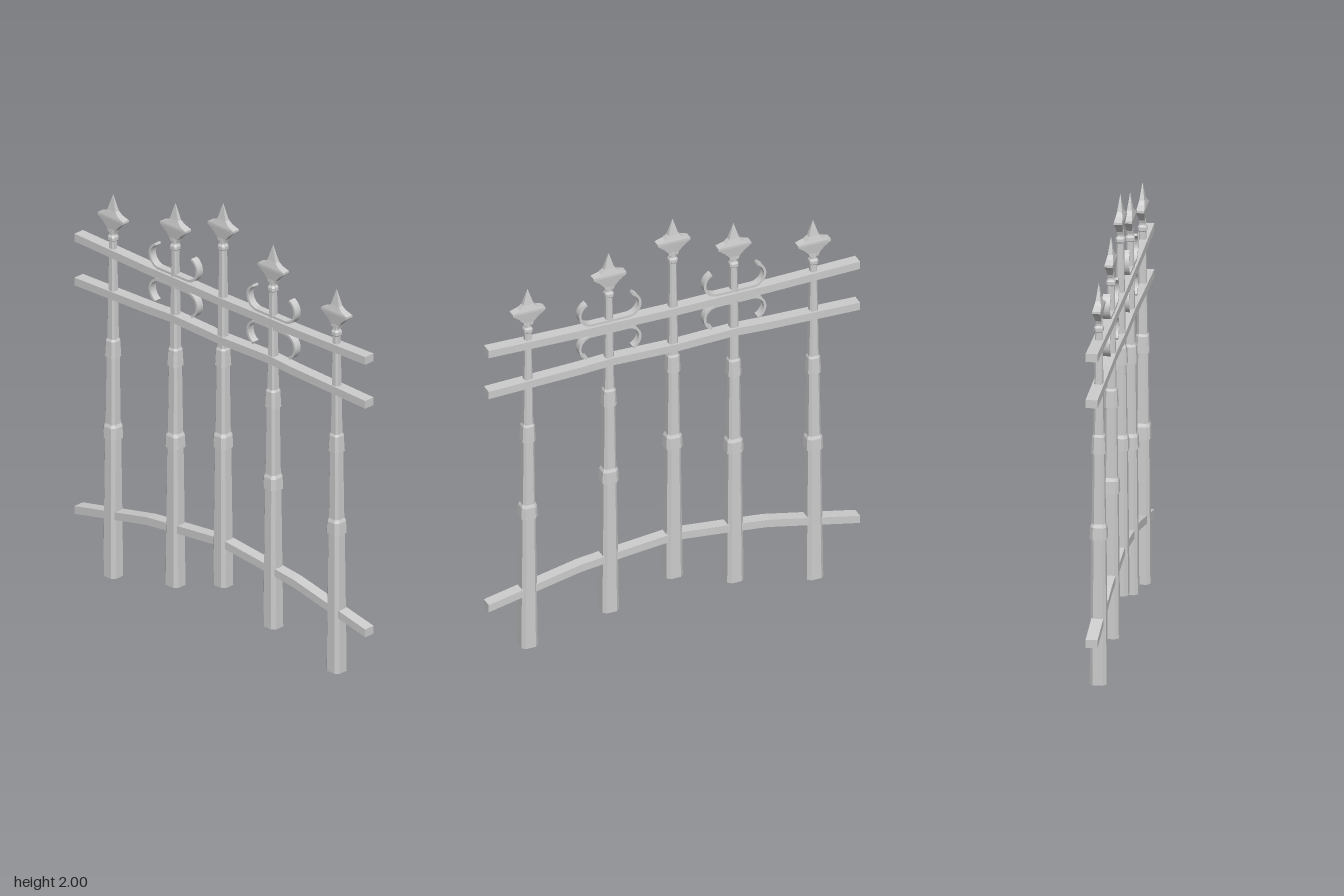
import * as THREE from 'three';

const material = new THREE.MeshStandardMaterial({ color: 0xcccccc, flatShading: true, side: THREE.DoubleSide });

// Cross-section outlines, as multiples of the half widths
const square = [[1, 1], [1, -1], [-1, -1], [-1, 1]];
const c = 0.6;
const bevelled = [[c, 1], [1, c], [1, -c], [c, -1], [-c, -1], [-1, -c], [-1, c], [-c, 1]];

// Skin a stack of sections [y, half width x, half width z], capped at both ends
function loft(outline, sections) {
  const n = outline.length, pos = [], index = [];
  for (const [y, hx, hz] of sections) for (const [x, z] of outline) pos.push(x * hx, y, z * hz);
  for (let s = 0; s < sections.length - 1; s++) {
    for (let i = 0; i < n; i++) {
      const a = s * n + i, b = s * n + (i + 1) % n;
      index.push(a, a + n, b, b, a + n, b + n);
    }
  }
  const top = (sections.length - 1) * n;
  for (let i = 1; i < n - 1; i++) {
    index.push(0, i, i + 1);
    index.push(top, top + i + 1, top + i);
  }
  const g = new THREE.BufferGeometry();
  g.setAttribute('position', new THREE.Float32BufferAttribute(pos, 3));
  g.setIndex(index);
  g.computeVertexNormals();
  return g;
}

function addMesh(parent, geometry, name) {
  const mesh = new THREE.Mesh(geometry, material);
  mesh.name = name;
  parent.add(mesh);
  return mesh;
}

// Rail: a polyline thickened up and down, extruded through z
function railGeometry(points, thickness) {
  const h = thickness / 2;
  const outline = [
    ...points.map(([x, y]) => new THREE.Vector2(x, y - h)),
    ...points.slice().reverse().map(([x, y]) => new THREE.Vector2(x, y + h)),
  ];
  return new THREE.ExtrudeGeometry(new THREE.Shape(outline), { depth: 0.052, bevelEnabled: false })
    .translate(0, 0, -0.028);
}

// Flat ribbon curling out from the post and up into an open hook
function scrollGeometry() {
  const cx = 0.085, cy = 0.085, outer = 0.062, inner = 0.051;
  const start = -Math.PI / 2, end = 1.15;
  const shape = new THREE.Shape();
  shape.moveTo(0.01, cy - outer);
  shape.lineTo(cx, cy - outer);
  shape.absarc(cx, cy, outer, start, end, false);
  shape.absarc(cx, cy, inner, end, start, true);
  shape.lineTo(0.01, cy - inner);
  shape.closePath();
  return new THREE.ExtrudeGeometry(shape, { depth: 0.034, bevelEnabled: false, curveSegments: 10 })
    .translate(0, 0, -0.017);
}

export function createModel() {
  const model = new THREE.Group();
  model.name = 'fencePanel';

  // Tapered shaft with two bands and a neck ring
  const shaft = loft(bevelled, [
    [0, 0.039, 0.037], [0.66, 0.031, 0.031],
    [0.66, 0.039, 0.037], [0.715, 0.036, 0.035], [0.73, 0.029, 0.029],
    [1.05, 0.025, 0.025],
    [1.05, 0.031, 0.031], [1.125, 0.027, 0.027], [1.135, 0.022, 0.022],
    [1.6, 0.015, 0.015],
    [1.605, 0.02, 0.02], [1.62, 0.02, 0.02], [1.63, 0.014, 0.014], [1.655, 0.014, 0.014],
  ]);
  // Flattened spearhead
  const finial = loft(square, [
    [1.64, 0.02, 0.012], [1.655, 0.025, 0.012], [1.68, 0.045, 0.015],
    [1.705, 0.077, 0.018], [1.715, 0.077, 0.018],
    [1.728, 0.042, 0.015], [1.745, 0.024, 0.011], [1.82, 0.0005, 0.0005],
  ]);

  // Posts step up towards the middle
  const posts = [[-0.665, 0], [-0.29, 0.083], [-0.003, 0.18], [0.298, 0.083], [0.68, 0]];
  for (const [x, y] of posts) {
    const post = new THREE.Group();
    post.name = 'post';
    post.position.set(x, y, 0);
    addMesh(post, shaft, 'postShaft');
    addMesh(post, finial, 'postFinial');
    model.add(post);
  }

  // Three rails, each symmetrical about the middle
  const xs = [-0.875, -0.44, -0.29, 0, 0.29, 0.44, 0.875];
  const rails = {
    topRail: [1.55, 1.54, 1.54, 1.537],
    middleRail: [1.34, 1.352, 1.36, 1.352],
    bottomRail: [0.247, 0.34, 0.357, 0.387],
  };
  for (const [name, ys] of Object.entries(rails)) {
    const points = xs.map((x, i) => [x, ys[Math.min(i, 6 - i)]]);
    addMesh(model, railGeometry(points, 0.037), name);
  }

  // Four scrolls around each of the two intermediate posts
  const scroll = scrollGeometry();
  const half = Math.PI;
  const turns = [[0, 0, 0], [half, 0, 0], [0, half, 0], [0, 0, half]];
  for (const x of [-0.29, 0.298]) {
    const scrolls = new THREE.Group();
    scrolls.name = 'scrolls';
    scrolls.position.set(x, 1.538, -0.002);
    for (const turn of turns) addMesh(scrolls, scroll, 'scroll').rotation.set(...turn);
    model.add(scrolls);
  }
  return model;
}
